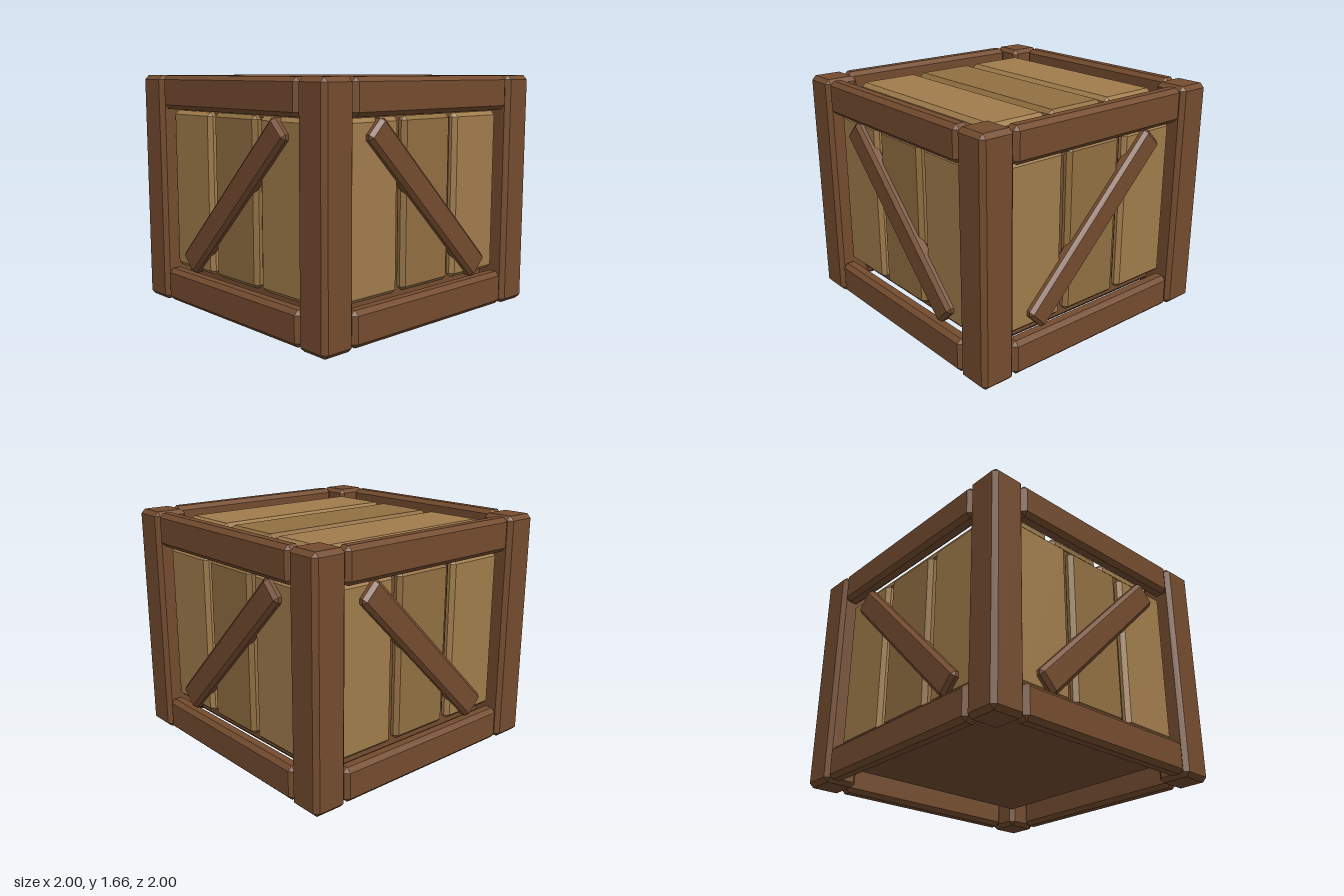
import * as THREE from 'three';
import { ConvexGeometry } from 'three/addons/geometries/ConvexGeometry.js';

const material = (color) => new THREE.MeshStandardMaterial({ color, flatShading: true });

// Box with every edge and corner chamfered by c
function chamferBox(w, h, d, c) {
  const points = [];
  for (const x of [-w / 2, w / 2]) for (const y of [-h / 2, h / 2]) for (const z of [-d / 2, d / 2]) {
    const [sx, sy, sz] = [x, y, z].map((v) => Math.sign(v) * c);
    points.push(
      new THREE.Vector3(x, y - sy, z - sz),
      new THREE.Vector3(x - sx, y, z - sz),
      new THREE.Vector3(x - sx, y - sy, z),
    );
  }
  return new ConvexGeometry(points);
}

export function createModel() {
  const crate = new THREE.Group();
  crate.name = 'crate';
  const frameWood = material(0x744c2f);
  const lightWood = material(0xa07c4c);
  const darkWood = material(0x916f41);
  const midY = 0.84;

  function add(parent, name, geometry, mat, x, y, z) {
    const mesh = new THREE.Mesh(geometry, mat);
    mesh.name = name;
    mesh.position.set(x, y, z);
    parent.add(mesh);
    return mesh;
  }

  // Closed inner box behind the planks
  add(crate, 'innerBox', chamferBox(1.58, 1.41, 1.58, 0.04), frameWood, 0, midY, 0);

  // Corner posts
  const post = chamferBox(0.25, 1.66, 0.25, 0.03);
  for (const x of [-0.875, 0.875]) for (const z of [-0.875, 0.875]) {
    add(crate, 'cornerPost', post, frameWood, x, midY, z);
  }

  // Four sides: rails, upright planks and a diagonal brace
  const rail = chamferBox(1.49, 0.24, 0.115, 0.03);
  const sidePlank = chamferBox(0.465, 1.15, 0.08, 0.028);
  const brace = chamferBox(1.49, 0.19, 0.1, 0.025);
  ['front', 'right', 'back', 'left'].forEach((name, i) => {
    const side = new THREE.Group();
    side.name = name + 'Side';
    side.rotation.y = i * Math.PI / 2;
    for (const y of [0.135, 1.55]) add(side, 'rail', rail, frameWood, 0, y, 0.935);
    for (const k of [-1, 0, 1]) {
      add(side, 'sidePlank', sidePlank, k ? lightWood : darkWood, k * 0.507, 0.845, 0.87);
    }
    // Neighbouring braces lean opposite ways
    const diagonal = add(side, 'brace', brace, frameWood, 0, midY, 0.91);
    diagonal.rotation.z = (i % 2 ? -1 : 1) * Math.PI / 4;
    crate.add(side);
  });

  // Lid planks, sunk a little below the rails
  const lidPlank = chamferBox(0.465, 0.09, 1.48, 0.028);
  for (const k of [-1, 0, 1]) {
    add(crate, 'lidPlank', lidPlank, k ? lightWood : darkWood, k * 0.507, 1.58, 0);
  }
  return crate;
}
